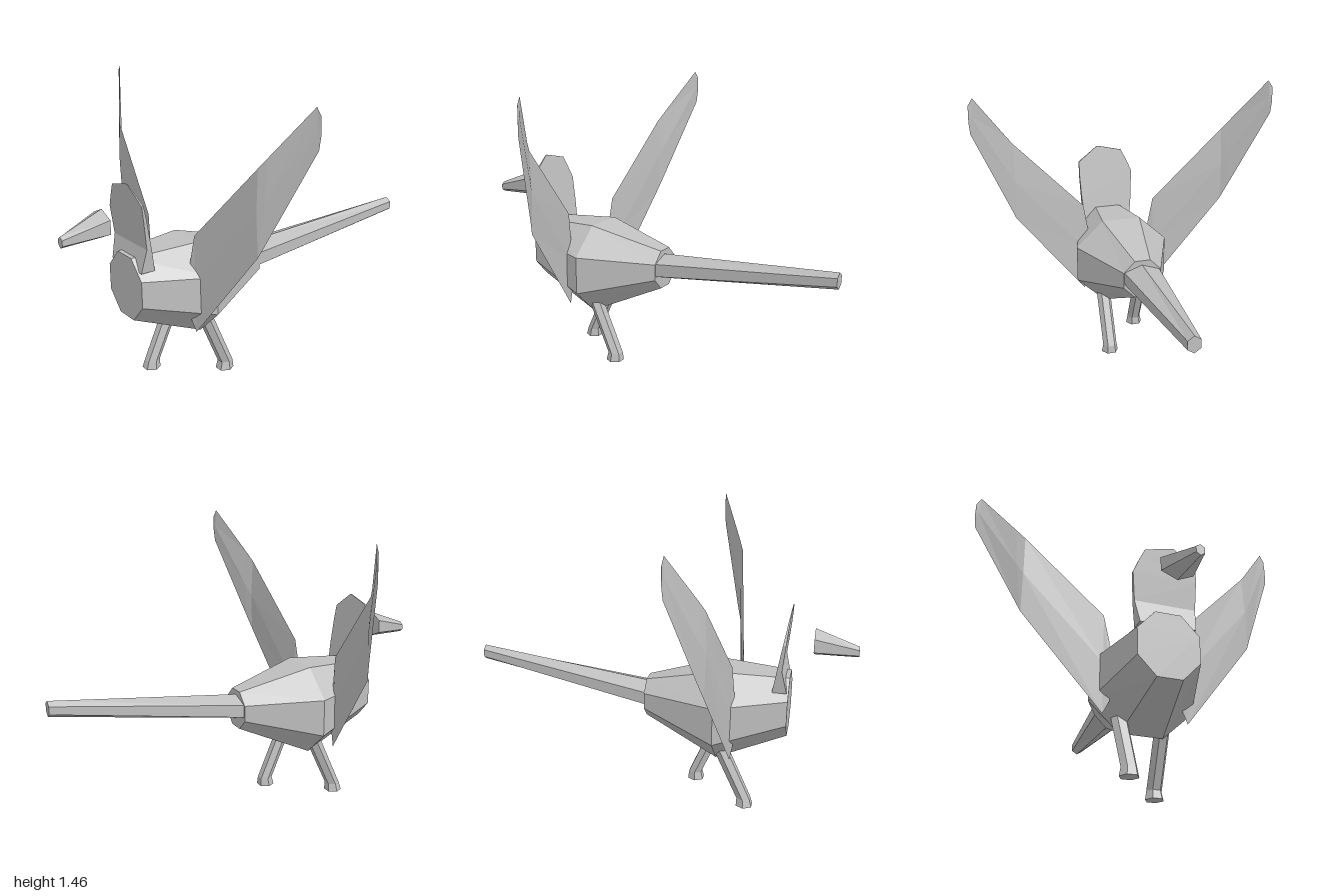
import * as THREE from 'three';

const plaster = new THREE.MeshStandardMaterial({ color: 0xbfbfbf, flatShading: true });
plaster.name = 'grey';

// Closed skin through a list of cross-sections with equal point counts.
function loft(name, sections) {
  const tris = [];
  const n = sections[0].length;
  for (let s = 0; s < sections.length - 1; s++) {
    const a = sections[s], b = sections[s + 1];
    for (let i = 0; i < n; i++) {
      const j = (i + 1) % n;
      tris.push([a[i], a[j], b[j]], [a[i], b[j], b[i]]);
    }
  }
  const cap = (ring, flip) => {
    for (let i = 1; i < n - 1; i++) {
      tris.push(flip ? [ring[0], ring[i + 1], ring[i]] : [ring[0], ring[i], ring[i + 1]]);
    }
  };
  cap(sections[0], true);
  cap(sections[sections.length - 1], false);
  // Turn the skin outwards if its enclosed volume is negative.
  let volume = 0;
  for (const [a, b, c] of tris) {
    volume += a[0] * (b[1] * c[2] - b[2] * c[1])
      + a[1] * (b[2] * c[0] - b[0] * c[2])
      + a[2] * (b[0] * c[1] - b[1] * c[0]);
  }
  if (volume < 0) tris.forEach((t) => t.reverse());
  const geometry = new THREE.BufferGeometry();
  geometry.setAttribute('position', new THREE.Float32BufferAttribute(tris.flat(2), 3));
  geometry.computeVertexNormals();
  const mesh = new THREE.Mesh(geometry, plaster);
  mesh.name = name;
  return mesh;
}

// Polygon facing z; half width w and half height h are its flat-to-flat or vertex extents.
function octagon(z, cy, w, h) {
  const k = 1 / Math.cos(Math.PI / 8);
  return Array.from({ length: 8 }, (_, i) => {
    const a = (i + 0.5) * Math.PI / 4;
    return [w * k * Math.cos(a), cy + h * k * Math.sin(a), z];
  });
}

function hexagon(z, cx, cy, w, h) {
  const k = 1 / Math.cos(Math.PI / 6);
  return Array.from({ length: 6 }, (_, i) => {
    const a = Math.PI / 2 + i * Math.PI / 3;
    return [cx + w * k * Math.cos(a), cy + h * Math.sin(a), z];
  });
}

// Horizontal hexagon for the legs.
function legRing(x, y, z, r) {
  return Array.from({ length: 6 }, (_, i) => {
    const a = i * Math.PI / 3;
    return [x + r * Math.cos(a), y, z + r * Math.sin(a)];
  });
}

// Thin wing made of lens-shaped ribs: lower x, y, upper x, y, z, half thickness.
function wing(name, side, shift) {
  const ribs = [
    [0.165, 0.36, 0.165, 0.65, 0.425, 0.004],
    [0.195, 0.30, 0.19, 0.79, 0.415, 0.004],
    [0.57, 0.78, 0.565, 1.18, 0.345, 0.008],
    [0.60, 0.85, 0.60, 1.225, 0.325, 0.009],
    [0.79, 1.28, 0.77, 1.455, 0.212, 0.003],
    [0.795, 1.34, 0.793, 1.42, 0.207, 0.001],
  ];
  return loft(name, ribs.map(([lx, ly, ux, uy, z, t]) => {
    const mx = (lx + ux) / 2, my = (ly + uy) / 2;
    return [[lx, ly, z], [mx, my, z + t], [ux, uy, z], [mx, my, z - t]]
      .map(([x, y, d]) => [side * x + shift, y, d]);
  }));
}

export function createModel() {
  const bird = new THREE.Group();
  bird.name = 'bird';

  bird.add(loft('body', [
    octagon(-0.05, 0.522, 0.1, 0.1),
    octagon(0.33, 0.484, 0.254, 0.234),
    octagon(0.68, 0.545, 0.147, 0.156),
  ]));

  bird.add(loft('tail', [
    hexagon(-1, 0.09, 0.645, 0.03, 0.04),
    hexagon(-0.045, 0.002, 0.533, 0.094, 0.065),
  ]));

  bird.add(loft('beak', [
    hexagon(0.785, 0.003, 0.88, 0.077, 0.067),
    hexagon(1, 0.015, 0.838, 0.02, 0.027),
  ]));

  // Flat head on a neck: left x, right x, y, front z; the back slopes to the base.
  const headRows = [
    [-0.13, 0.135, 0.645, 0.672],
    [-0.145, 0.147, 0.76, 0.645],
    [-0.155, 0.152, 0.90, 0.659],
    [-0.125, 0.15, 0.97, 0.665],
    [-0.1, 0.082, 1.02, 0.67],
    [0.03, 0.042, 1.05, 0.673],
  ];
  bird.add(loft('head', headRows.map(([l, r, y, f]) => {
    const b = 0.669 - (1.05 - y) * 0.17;
    return [[l, y, f], [r, y, f], [r, y, b], [l, y, b]];
  })));

  bird.add(wing('leftWing', 1, 0));
  bird.add(wing('rightWing', -1, -0.02));

  // Striding legs with slightly flared feet.
  bird.add(loft('leftLeg', [
    legRing(0.115, 0, 0.19, 0.046),
    legRing(0.115, 0.042, 0.187, 0.038),
    legRing(0.115, 0.32, 0.307, 0.038),
  ]));
  bird.add(loft('rightLeg', [
    legRing(-0.118, 0, 0.487, 0.046),
    legRing(-0.116, 0.042, 0.482, 0.038),
    legRing(-0.116, 0.31, 0.357, 0.04),
  ]));

  return bird;
}
